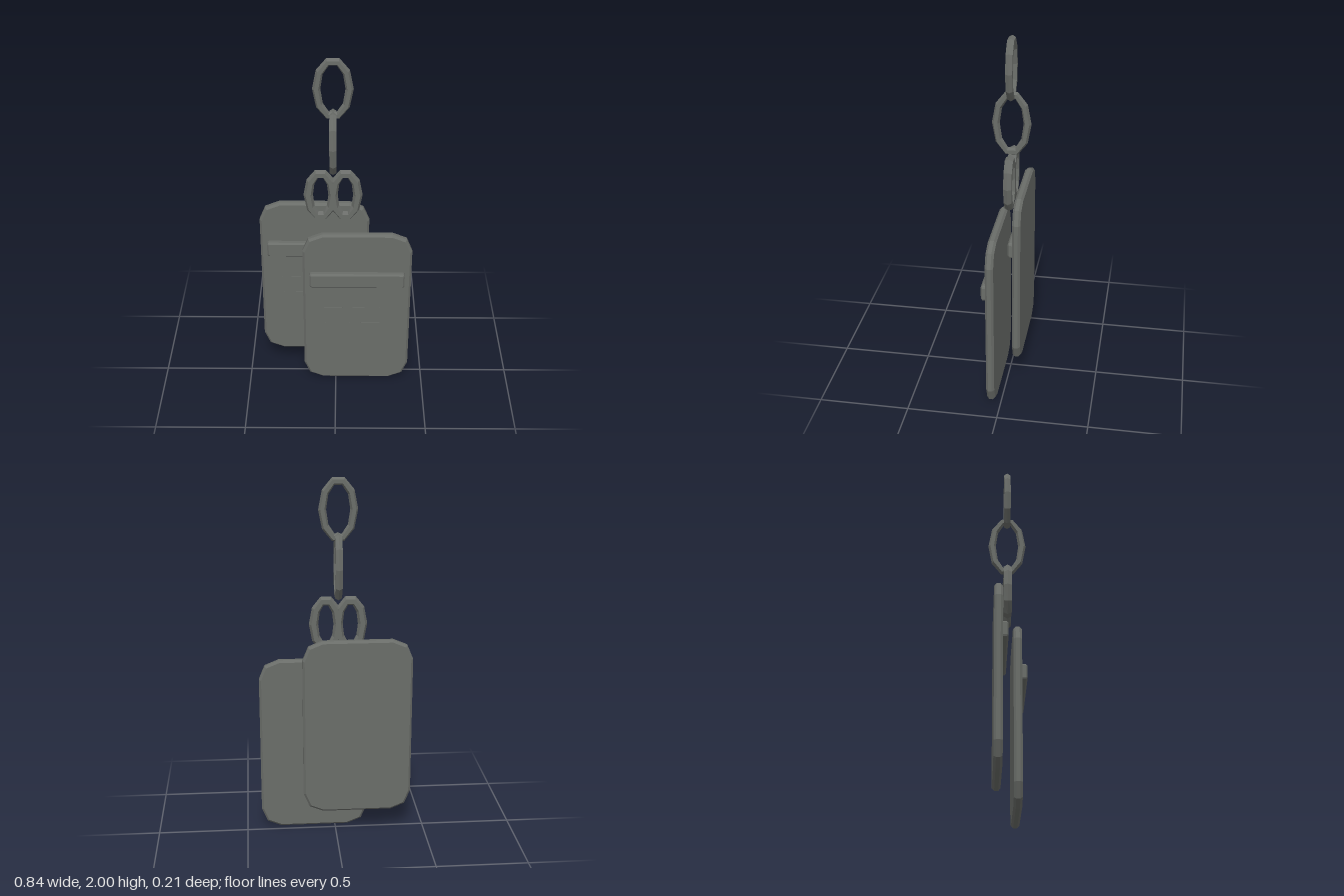
import * as THREE from 'three';

const metal = new THREE.MeshStandardMaterial({ color: 0x6a6d69, flatShading: true });
metal.name = 'dark steel';

function add(parent, name, geometry, x, y, z) {
  const mesh = new THREE.Mesh(geometry, metal);
  mesh.name = name;
  mesh.position.set(x, y, z);
  parent.add(mesh);
  return mesh;
}

// Slab with faceted corners and chamfered rims, centred on the origin
function slab(w, h, depth, r, bevel) {
  const s = new THREE.Shape();
  const x = w / 2 - r, y = h / 2 - r;
  s.absarc(x, y, r, 0, Math.PI / 2);
  s.absarc(-x, y, r, Math.PI / 2, Math.PI);
  s.absarc(-x, -y, r, Math.PI, Math.PI * 1.5);
  s.absarc(x, -y, r, Math.PI * 1.5, Math.PI * 2);
  s.closePath();
  const g = new THREE.ExtrudeGeometry(s, {
    depth: depth - 2 * bevel, curveSegments: 1, steps: 1,
    bevelEnabled: bevel > 0, bevelThickness: bevel, bevelSize: bevel,
    bevelOffset: -bevel, bevelSegments: 1,
  });
  return g.translate(0, 0, bevel - depth / 2);
}

// Oval link: a torus whose centre line is stretched while its tube stays even
function oval(rx, ry, tube) {
  const g = new THREE.TorusGeometry(1, tube, 6, 10);
  const p = g.attributes.position;
  const a = rx - tube, b = (ry - tube) / Math.cos(Math.PI / 10);
  for (let i = 0; i < p.count; i++) {
    const x = p.getX(i), y = p.getY(i), len = Math.hypot(x, y);
    const c = x / len, s = y / len, out = len - 1;
    p.setXY(i, c * (a + out), s * (b + out));
  }
  g.computeVertexNormals();
  return g;
}

// Tag body with its raised bar and two rows of small raised dashes
function makeTag(name) {
  const tag = new THREE.Group();
  tag.name = name;
  add(tag, 'plate', slab(0.6, 1, 0.045, 0.11, 0.012), 0, 0, 0);
  add(tag, 'raisedBar', slab(0.525, 0.09, 0.042, 0.012, 0.009), 0, 0.215, 0.0305);
  const dashes = [[-0.132, 0.003, 0.11], [0.053, 0.003, 0.162], [-0.107, -0.102, 0.14], [0.079, -0.102, 0.11]];
  for (const [x, y, w] of dashes) add(tag, 'dash', slab(w, 0.03, 0.006, 0.006, 0), x, y, 0.0225);
  return tag;
}

export function createModel() {
  const model = new THREE.Group();
  model.name = 'tagPendant';

  // Two overlapping tags
  const front = makeTag('frontTag');
  front.position.set(0.1175, 0.5, 0.0515);
  const back = makeTag('backTag');
  back.position.set(-0.1175, 0.635, -0.0545);
  model.add(front, back);

  // Chain of alternating links, with a pair of rings holding the tags
  const chain = new THREE.Group();
  chain.name = 'chain';
  model.add(chain);
  add(chain, 'topLink', oval(0.105, 0.168, 0.021), -0.015, 1.832, 0);
  const cross = add(chain, 'crossLink', oval(0.105, 0.178, 0.021), -0.015, 1.529, -0.001);
  cross.rotation.y = Math.PI / 2;
  for (const [name, x] of [['rightRing', -0.081], ['leftRing', 0.051]]) {
    add(chain, name, oval(0.092, 0.153, 0.0255), x, 1.213, 0);
  }
  return model;
}
